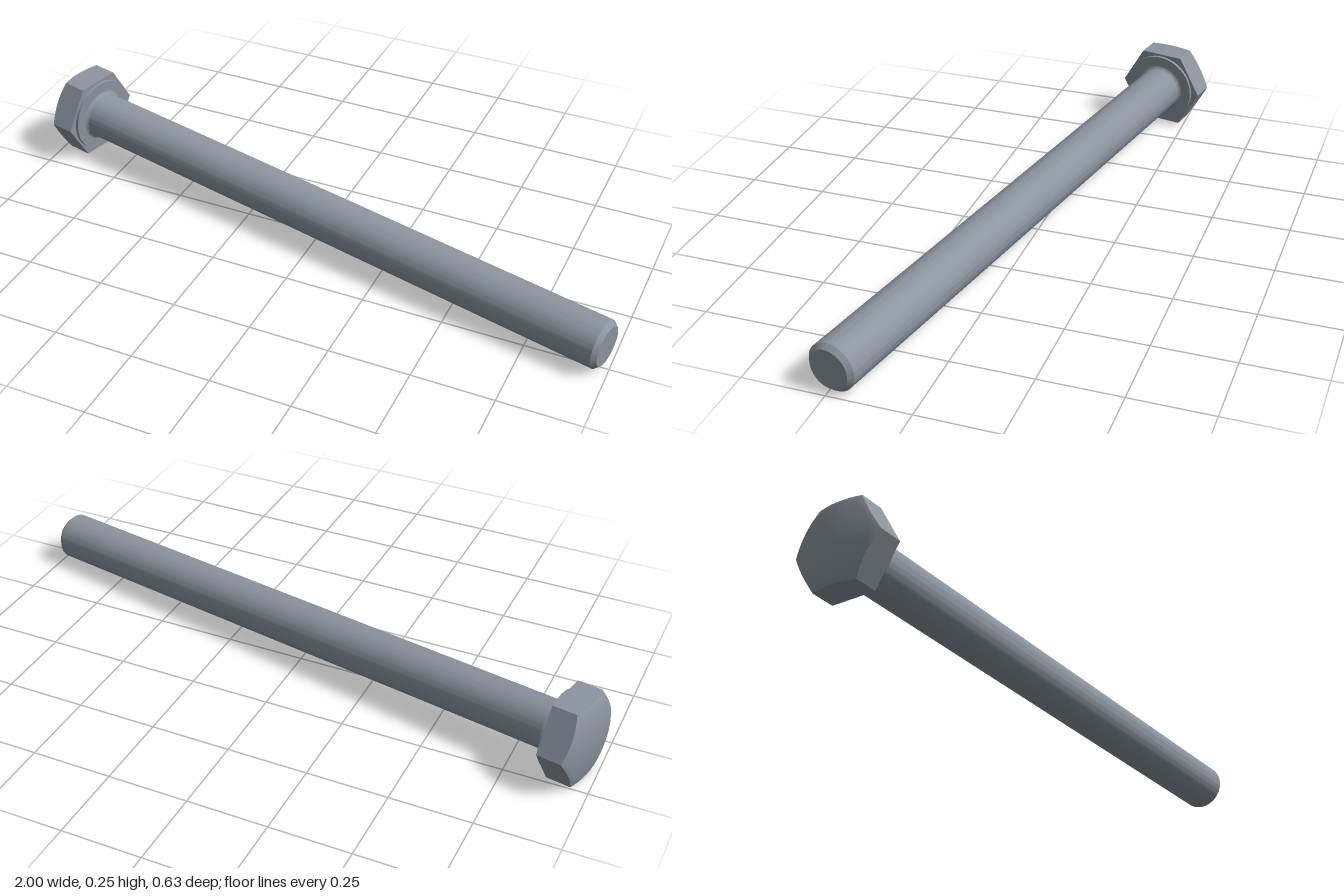
import * as THREE from 'three';
import { toCreasedNormals } from 'three/addons/utils/BufferGeometryUtils.js';

const SEGMENTS = 72;
const APOTHEM = 0.126;      // half the width across flats
const HEAD = 0.092;         // head thickness
const BEVEL = 0.115;        // radius where the head's bevel begins
const LENGTH = 1.912;       // shank length below the head
const CREASE = 0.6;

const steel = new THREE.MeshStandardMaterial({ color: 0x8c959f });
steel.name = 'steel';

// turned part, laid along +x
function turned(name, profile, reshape) {
  const geo = new THREE.LatheGeometry(profile.map(([r, y]) => new THREE.Vector2(r, y)), SEGMENTS);
  if (reshape) reshape(geo.attributes.position);
  geo.rotateZ(-Math.PI / 2);
  const mesh = new THREE.Mesh(toCreasedNormals(geo, CREASE), steel);
  mesh.name = name;
  return mesh;
}

// radius of the hexagon at an angle, flats facing local up and down
function hexRadius(angle) {
  const step = Math.PI / 3;
  return APOTHEM / Math.cos(angle - Math.round(angle / step) * step);
}

export function createModel() {
  const bolt = new THREE.Group();
  bolt.name = 'hexBolt';

  // head: rim points (radius 1) are pulled onto the hexagon, the outer rim follows a cone
  bolt.add(turned('hexHead', [[0, -HEAD], [BEVEL, -HEAD], [1, -HEAD], [1, 0], [0, 0]], (pos) => {
    for (let i = 0; i < pos.count; i++) {
      const x = pos.getX(i), z = pos.getZ(i);
      if (Math.hypot(x, z) < 0.9) continue;
      const r = hexRadius(Math.atan2(z, x));
      const y = pos.getY(i) < -0.01 ? -HEAD + (r - BEVEL) * 0.5 : 0;
      pos.setXYZ(i, x * r, y, z * r);
    }
  }));

  // washer face under the head
  bolt.add(turned('washerFace', [[0.119, 0], [0.119, 0.01], [0.07, 0.01]]));

  // shank with a small fillet at the head and a chamfered tip
  bolt.add(turned('shank', [
    [0.086, 0.01], [0.08, 0.0115], [0.0765, 0.015], [0.075, 0.021],
    [0.075, LENGTH - 0.014], [0.062, LENGTH], [0, LENGTH],
  ]));

  // lying at rest on the head's flat and the tip
  bolt.rotation.set(0, -0.2113, -0.0267, 'YZX');
  bolt.position.set(-0.884, 0.127, -0.158);

  const model = new THREE.Group();
  model.name = 'model';
  model.add(bolt);
  return model;
}
